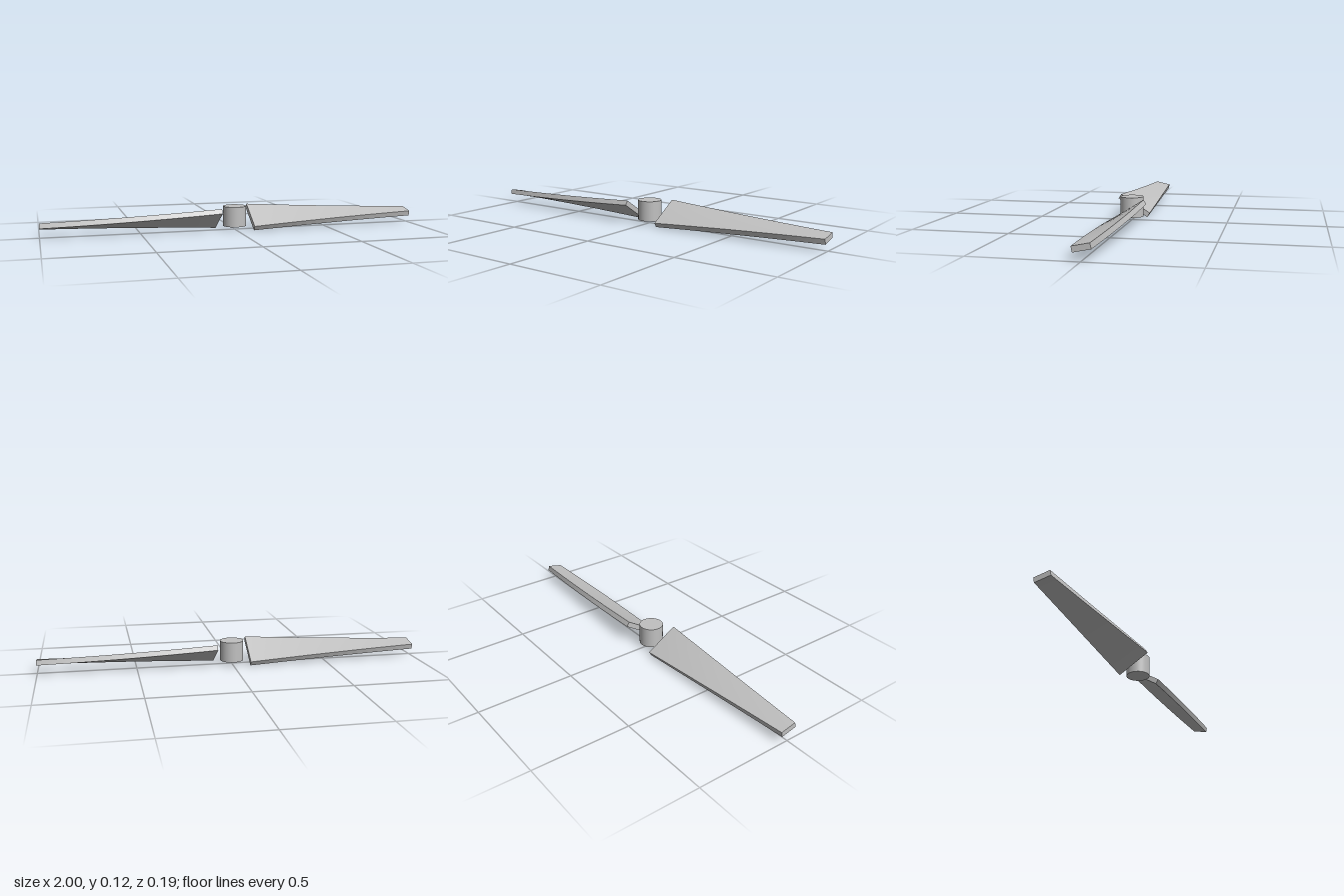
import * as THREE from 'three';

const ROOT = 0.088, TIP = 1, THICK = 0.027, AXIS_Y = 0.073;
const { lerp, degToRad } = THREE.MathUtils;

// A tapered, twisted blade along +x; the twist axis runs along its top face.
function bladeGeometry() {
  const geo = new THREE.BoxGeometry(1, THICK, 1, 32, 1, 4);
  geo.translate(0.5, -THICK / 2, 0);
  const pos = geo.attributes.position;
  for (let i = 0; i < pos.count; i++) {
    const t = pos.getX(i);
    const chord = pos.getZ(i) * lerp(0.186, 0.082, t);
    const y = pos.getY(i);
    const pitch = degToRad(lerp(32, 12, t));
    const c = Math.cos(pitch), s = Math.sin(pitch);
    pos.setXYZ(i, lerp(ROOT, TIP, t), AXIS_Y + y * c - chord * s, chord * c + y * s);
  }
  geo.computeVertexNormals();
  return geo;
}

export function createModel() {
  const model = new THREE.Group();
  model.name = 'propeller';
  const grey = new THREE.MeshStandardMaterial({ color: 0xc0c0c0 });
  grey.name = 'light grey';

  // Hub
  const hub = new THREE.Mesh(new THREE.CylinderGeometry(0.061, 0.061, 0.105, 48), grey);
  hub.name = 'hub';
  hub.position.y = 0.0725;
  model.add(hub);

  // Two opposite blades, half a turn apart
  const geo = bladeGeometry();
  ['leftBlade', 'rightBlade'].forEach((name, i) => {
    const blade = new THREE.Mesh(geo, grey);
    blade.name = name;
    blade.rotation.y = i * Math.PI;
    model.add(blade);
  });
  return model;
}
